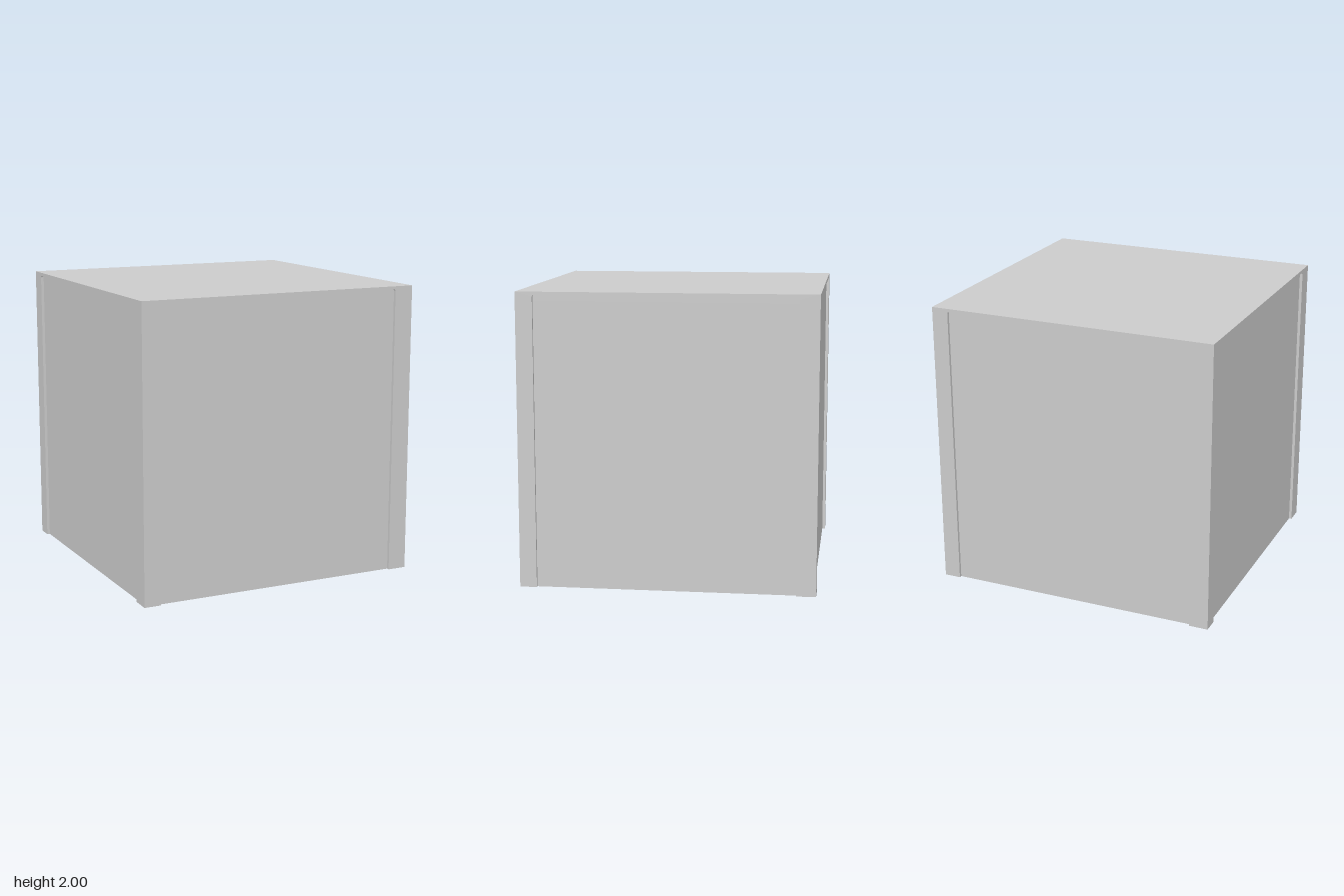
import * as THREE from 'three';

const HALF = 1;          // outer half width
const HEIGHT = 2;
const RECESS = 0.02;     // depth of the side panels behind the corner posts
const WALL = 0.935;      // inner half width of the cavity
const CEILING = 0.06;
const CORE = HALF - RECESS;

const material = new THREE.MeshStandardMaterial({ color: 0xcccccc, flatShading: true });

function part(name, geometry) {
  const mesh = new THREE.Mesh(geometry, material);
  mesh.name = name;
  return mesh;
}

function extrude(shape, depth) {
  return new THREE.ExtrudeGeometry(shape, { depth, bevelEnabled: false, curveSegments: 3 });
}

function square(target, h) {
  return target.moveTo(-h, -h).lineTo(h, -h).lineTo(h, h).lineTo(-h, h).closePath();
}

// Posts and top lip of one side, with softly rounded inner corners
function frameGeometry() {
  const left = -0.885, right = 0.868, lip = 1.978, r = 0.012;
  const s = new THREE.Shape();
  s.moveTo(-HALF, 0);
  s.lineTo(left, 0);
  s.lineTo(left, lip - r);
  s.quadraticCurveTo(left, lip, left + r, lip);
  s.lineTo(right - r, lip);
  s.quadraticCurveTo(right, lip, right, lip - r);
  s.lineTo(right, 0);
  s.lineTo(CORE, 0);
  s.lineTo(CORE, HEIGHT);
  s.lineTo(-HALF, HEIGHT);
  s.closePath();
  return extrude(s, RECESS).translate(0, 0, CORE);
}

export function createModel() {
  const model = new THREE.Group();
  model.name = 'openBottomBox';

  // Hollow walls whose outer faces are the recessed panels
  const ring = square(new THREE.Shape(), CORE);
  ring.holes.push(square(new THREE.Path(), WALL));
  const walls = extrude(ring, HEIGHT - CEILING).rotateX(-Math.PI / 2);
  model.add(part('wallPanels', walls));

  // Closed top
  const top = new THREE.BoxGeometry(2 * CORE, CEILING, 2 * CORE);
  top.translate(0, HEIGHT - CEILING / 2, 0);
  model.add(part('topSlab', top));

  // The frames interlock around the four sides
  const frame = frameGeometry();
  ['front', 'left', 'back', 'right'].forEach((side, i) => {
    const mesh = part(side + 'Frame', frame);
    mesh.rotation.y = i * Math.PI / 2;
    model.add(mesh);
  });

  return model;
}
